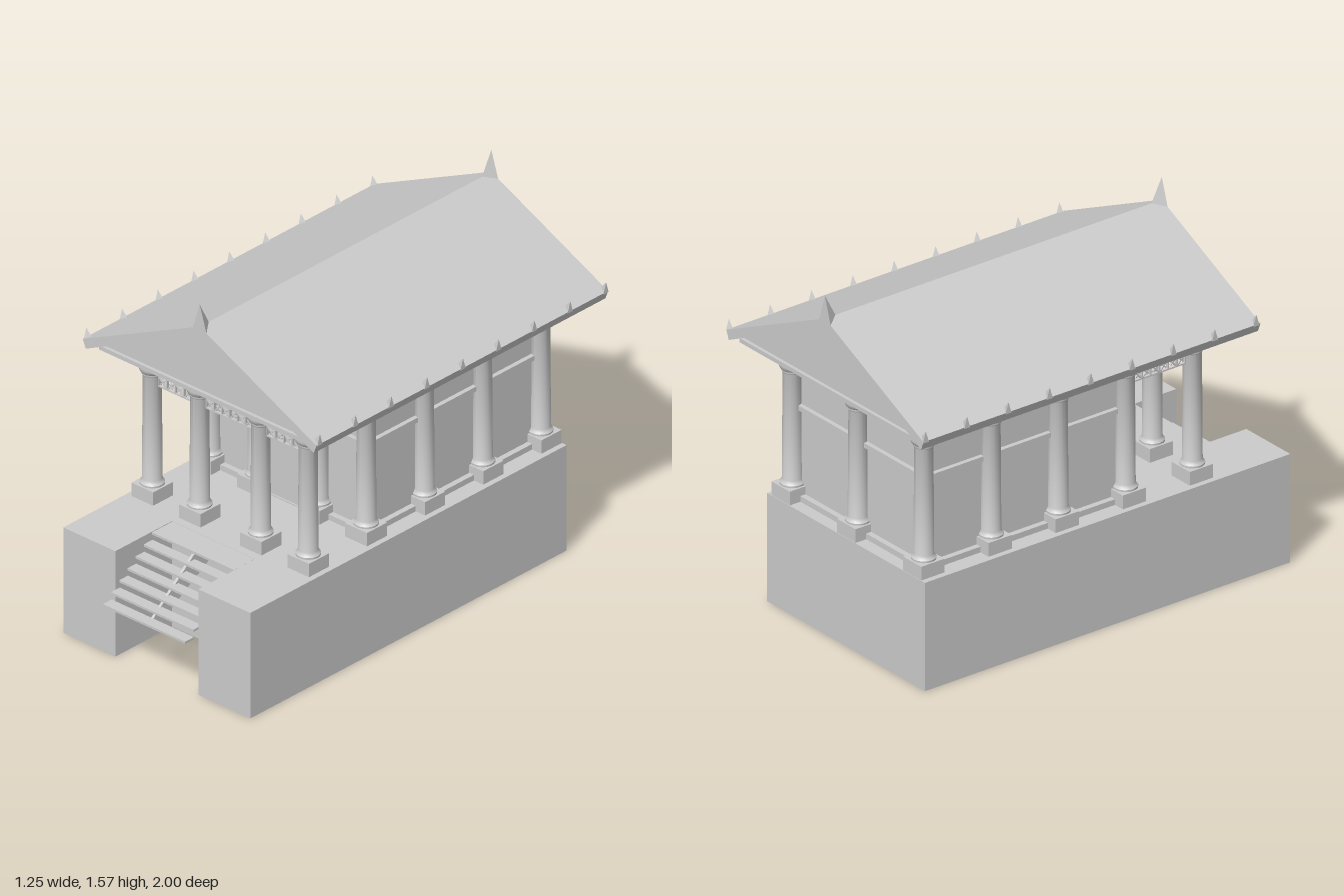
import * as THREE from 'three';
import { mergeGeometries, toCreasedNormals } from 'three/addons/utils/BufferGeometryUtils.js';

const mat = new THREE.MeshStandardMaterial({ color: 0xcccccc, side: THREE.DoubleSide });
const CZ = -0.165; // z centre of the temple on its podium

export function createModel() {
  const root = new THREE.Group();
  const add = (name, geo, x = 0, y = 0, z = 0, parent = root) => {
    const m = new THREE.Mesh(geo, mat);
    m.name = name;
    m.position.set(x, y, z);
    parent.add(m);
    return m;
  };
  // box from min/max corners
  const box = (x0, x1, y0, y1, z0, z1) =>
    new THREE.BoxGeometry(x1 - x0, y1 - y0, z1 - z0).translate((x0 + x1) / 2, (y0 + y1) / 2, (z0 + z1) / 2);
  const shapeOf = pts => new THREE.Shape(pts.map(p => new THREE.Vector2(...p)));
  const extrude = (shape, depth) => new THREE.ExtrudeGeometry(shape, { depth, bevelEnabled: false });

  // Podium: hollow shell, open underneath, with a notch for the stairs
  const n = 0.222, F = 0.927, B = -0.895, H = 0.475;
  const outline = shapeOf([[-0.5, -F], [-n, -F], [-n, -0.6], [n, -0.6], [n, -F], [0.5, -F], [0.5, -B], [-0.5, -B]]);
  const solid = extrude(outline, H).rotateX(-Math.PI / 2);
  const shell = new THREE.BufferGeometry();
  // the first six triangles are the bottom lid
  shell.setAttribute('position', new THREE.BufferAttribute(solid.attributes.position.array.slice(6 * 9), 3));
  shell.computeVertexNormals();
  add('podium', shell);

  // Stairs: thin treads on a narrow central stringer
  const stairs = new THREE.Group();
  stairs.name = 'stairs';
  root.add(stairs);
  for (let k = 0; k < 7; k++) {
    const y = 0.268 + 0.0343 * k, z = 1 - 0.047 * k;
    add('tread', box(-0.22, 0.22, y - 0.01, y, k === 6 ? 0.6 : z - 0.05, z), 0, 0, 0, stairs);
  }
  const stringer = extrude(shapeOf([[-0.965, 0.26], [-0.93, 0.225], [-0.6, 0.42], [-0.6, 0.465], [-0.72, 0.46]]), 0.012);
  add('stringer', stringer.rotateY(Math.PI / 2).translate(-0.006, 0, 0), 0, 0, 0, stairs);

  // Cella: walls, base course and string course
  const course = (name, hx, z0, z1, y0, y1) => add(name, box(-hx, hx, y0, y1, z0, z1));
  course('cellaWalls', 0.4, -0.815, 0.15, H, 1.09);
  course('baseCourse', 0.425, -0.84, 0.175, H, 0.5);
  course('stringCourse', 0.42, -0.835, 0.17, 0.867, 0.888);

  // Door frame with eared lintel, and the door inside it
  const frame = shapeOf([[-0.118, H], [0.118, H], [0.112, 0.775], [0.125, 0.775], [0.125, 0.81],
    [-0.125, 0.81], [-0.125, 0.775], [-0.112, 0.775]]);
  frame.holes.push(new THREE.Path([[-0.092, 0.48], [-0.097, 0.782], [0.097, 0.782], [0.092, 0.48]]
    .map(p => new THREE.Vector2(...p))));
  add('doorFrame', extrude(frame, 0.035), 0, 0, 0.15);
  add('door', box(-0.097, 0.097, H, 0.785, 0.145, 0.178));

  // Columns: plinth plus turned shaft with a cushion capital
  const profile = [[0, 0.055], [0.05, 0.055], [0.051, 0.068], [0.045, 0.075], [0.041, 0.085], [0.038, 0.55],
    [0.042, 0.555], [0.042, 0.562], [0.05, 0.57], [0.055, 0.583], [0.055, 0.598], [0.05, 0.612], [0, 0.612]];
  const shaft = toCreasedNormals(
    new THREE.LatheGeometry(profile.map(p => new THREE.Vector2(...p)), 20), 0.7);
  const plinth = box(-0.058, 0.058, 0, 0.06, -0.058, 0.058);
  const column = (x, z) => {
    const g = new THREE.Group();
    g.name = 'column';
    g.position.set(x, H, z);
    add('plinth', plinth, 0, 0, 0, g);
    add('shaft', shaft, 0, 0, 0, g);
    root.add(g);
  };
  const zRows = [0.504, 0.17, -0.165, -0.5, -0.835];
  for (const s of [-1, 1]) {
    zRows.forEach(z => column(s * 0.417, z));
    column(s * 0.163, zRows[0]);
    column(s * 0.163, zRows[1]);
  }
  column(0, zRows[4]);

  // Lattice screens below the beams of the porch
  const lattice = (len, cells) => {
    const parts = [], h = 0.09, t = 0.006, c = len / cells, r = h / 2;
    const bar = (cx, cy, l, a) =>
      parts.push(new THREE.BoxGeometry(l, t, 0.012).rotateZ(a).translate(cx, cy, 0));
    for (let j = 0; j <= 2; j++) bar(0, j * r - r, len, 0);
    for (let i = 0; i <= cells; i++) bar(i * c - len / 2, 0, h, Math.PI / 2);
    for (let i = 0; i < cells; i++) for (let j = 0; j < 2; j++) {
      const a = Math.atan2(r, c), x = (i + 0.5) * c - len / 2, y = (j - 0.5) * r;
      bar(x, y, Math.hypot(c, r), (i + j) % 2 ? a : -a);
      bar(x, y, Math.hypot(c, r) * 0.4, (i + j) % 2 ? -a : a);
    }
    return mergeGeometries(parts);
  };
  add('latticeCentre', lattice(0.25, 6), 0, 1.03, 0.504);
  for (const s of [-1, 1]) {
    add('latticeFront', lattice(0.18, 4), s * 0.29, 1.03, 0.504);
    add('latticeSide', lattice(0.26, 6), s * 0.417, 1.03, 0.337).rotation.y = Math.PI / 2;
  }

  // Entablature: beam, flared cornice and flat slab
  const flare = (name, hx0, hz0, hx1, hz1, y0, y1) => {
    const g = box(-hx1, hx1, y0, y1, -hz1, hz1), p = g.attributes.position;
    for (let i = 0; i < p.count; i++)
      if (p.getY(i) < (y0 + y1) / 2) p.setXYZ(i, Math.sign(p.getX(i)) * hx0, y0, Math.sign(p.getZ(i)) * hz0);
    g.computeVertexNormals();
    add(name, g, 0, 0, CZ);
  };
  flare('architrave', 0.472, 0.725, 0.472, 0.725, 1.085, 1.098);
  flare('cornice', 0.485, 0.74, 0.55, 0.81, 1.098, 1.14);
  flare('corniceSlab', 0.562, 0.82, 0.562, 0.82, 1.14, 1.158);

  // Gable filling and the pitched roof slab
  add('pediment', extrude(shapeOf([[-0.562, 1.157], [0.562, 1.157], [0, 1.43]]), 1.61), 0, 0, CZ - 0.805);
  add('roof', extrude(shapeOf([[0, 1.47], [-0.625, 1.174], [-0.61, 1.135], [0, 1.43], [0.61, 1.135], [0.625, 1.174]]), 1.68),
    0, 0, -1);

  // Spikes: upright triangular face towards +z, tapering to a point behind
  const spike = (w, h, d, drop) => {
    const a = [-w, 0, 0], b = [w, 0, 0], t = [0, h, 0], r = [0, drop, -d];
    const g = new THREE.BufferGeometry();
    g.setAttribute('position', new THREE.Float32BufferAttribute(
      [a, b, t, b, r, t, r, a, t, a, r, b].flat(), 3));
    g.computeVertexNormals();
    return g;
  };
  const ridgeSpike = spike(0.037, 0.12, 0.052, 0.02), eaveSpike = spike(0.015, 0.05, 0.032, 0.012);
  add('ridgeSpike', ridgeSpike, 0, 1.45, 0.68);
  add('ridgeSpike', ridgeSpike, 0, 1.45, -1).rotation.y = Math.PI;
  for (const s of [-1, 1]) for (let i = 0; i < 9; i++)
    add('eaveSpike', eaveSpike, s * 0.625, 1.168, 0.66 - i * 0.206).rotation.y = s * Math.PI / 2;

  return root;
}
